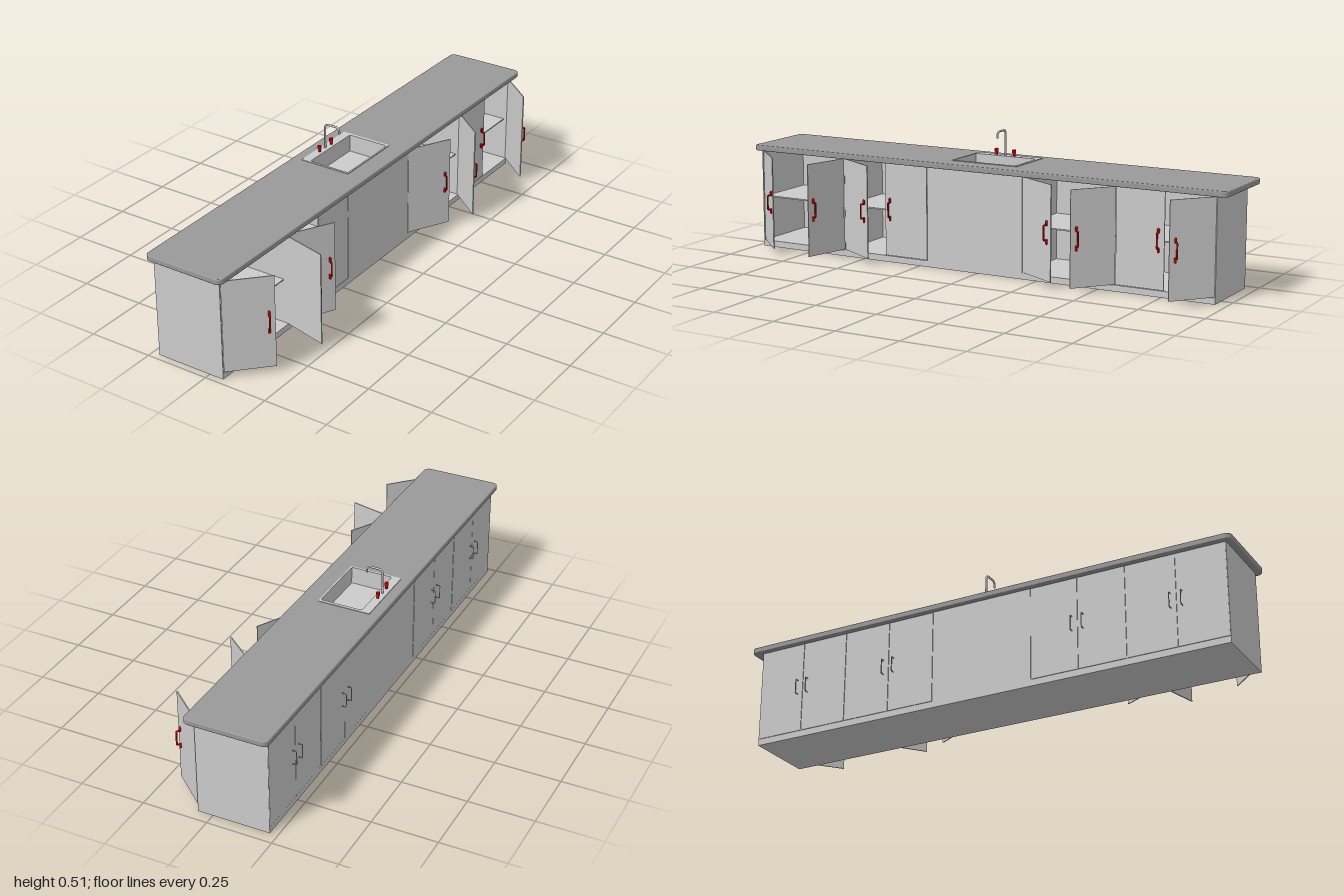
import * as THREE from 'three';

const grey = new THREE.MeshStandardMaterial({ color: 0xcccccc });
const stone = new THREE.MeshStandardMaterial({ color: 0x999999 });
const red = new THREE.MeshStandardMaterial({ color: 0xcc0000 });

const Y0 = 0.028, Y1 = 0.386;        // door bottom and top
const BACK = -0.22, FRONT = 0.058;   // carcass depth along x
const T = 0.004;                     // panel thickness

function add(parent, name, geometry, material = grey) {
  const mesh = new THREE.Mesh(geometry, material);
  mesh.name = name;
  parent.add(mesh);
  return mesh;
}

// box given by its minimum and maximum corners
function box(parent, name, x0, x1, y0, y1, z0, z1, material = grey) {
  const m = add(parent, name, new THREE.BoxGeometry(x1 - x0, y1 - y0, z1 - z0), material);
  m.position.set((x0 + x1) / 2, (y0 + y1) / 2, (z0 + z1) / 2);
  return m;
}

// rounded rectangle in x and z, drawn in shape space (y = -z)
function roundRect(Type, x0, x1, z0, z1, r) {
  const p = new Type(), a = -z1, b = -z0;
  p.moveTo(x0 + r, a);
  p.lineTo(x1 - r, a);
  p.absarc(x1 - r, a + r, r, -Math.PI / 2, 0);
  p.lineTo(x1, b - r);
  p.absarc(x1 - r, b - r, r, 0, Math.PI / 2);
  p.lineTo(x0 + r, b);
  p.absarc(x0 + r, b - r, r, Math.PI / 2, Math.PI);
  p.lineTo(x0, a + r);
  p.absarc(x0 + r, a + r, r, Math.PI, Math.PI * 1.5);
  return p;
}

// rod through points with rounded corners
function bentRod(points, bend, radius) {
  const v = points.map(p => new THREE.Vector3(...p));
  const path = new THREE.CurvePath();
  let from = v[0];
  for (let i = 1; i < v.length - 1; i++) {
    const a = v[i].clone().add(v[i - 1].clone().sub(v[i]).setLength(bend));
    const b = v[i].clone().add(v[i + 1].clone().sub(v[i]).setLength(bend));
    path.add(new THREE.LineCurve3(from, a));
    path.add(new THREE.QuadraticBezierCurve3(a, v[i], b));
    from = b;
  }
  path.add(new THREE.LineCurve3(from, v[v.length - 1]));
  return new THREE.TubeGeometry(path, 60, radius, 8, false);
}

// U-shaped pull standing out along +x
function handle(material, withPads) {
  const g = new THREE.Group();
  g.name = 'handle';
  const reach = 0.016, lo = 0.18, hi = 0.236, r = withPads ? 0.0035 : 0.0018;
  add(g, 'handleBar', bentRod([[0, lo, 0], [reach, lo, 0], [reach, hi, 0], [0, hi, 0]], 0.005, r), material);
  if (withPads) for (const y of [0.172, 0.244]) {
    const pad = add(g, 'handlePad', new THREE.CapsuleGeometry(0.0045, 0.009, 4, 10), material);
    pad.position.set(0.003, y, 0);
  }
  return g;
}

// door hinged at z, reaching along dir (+1 or -1), swung outwards by degrees
function door(parent, name, z, dir, width, degrees) {
  const g = new THREE.Group();
  g.name = name;
  const panel = add(g, 'doorPanel', new THREE.BoxGeometry(T, Y1 - Y0, width));
  panel.position.set(0, (Y0 + Y1) / 2, dir * width / 2);
  const pull = handle(red, true);
  pull.position.set(T / 2, 0, dir * (width - 0.022));
  g.add(pull);
  g.position.set(FRONT - T / 2, 0, z);
  g.rotation.y = dir * THREE.MathUtils.degToRad(degrees);
  parent.add(g);
}

export function createModel() {
  const model = new THREE.Group();
  model.name = 'kitchenIsland';

  // carcass: plinth, back wall, partitions, shelves
  const zEnds = [-0.956, -0.571, -0.19, 0.215, 0.592, 0.976];
  const body = new THREE.Group();
  body.name = 'carcass';
  model.add(body);
  box(body, 'plinth', BACK, FRONT, 0.002, Y0 - 0.002, zEnds[0], zEnds[5]);
  box(body, 'backWall', BACK + 0.002, BACK + 0.006, 0.02, 0.389, zEnds[0], zEnds[5]);
  zEnds.forEach((z, i) => {
    const end = i === 0 || i === 5;
    const z0 = i === 0 ? z : i === 5 ? z - T : z - T / 2;
    box(body, end ? 'endPanel' : 'partition', end ? BACK : BACK + 0.002, end ? FRONT : FRONT - T, end ? 0.002 : 0.02, 0.389, z0, z0 + T);
  });
  for (const i of [0, 1, 3, 4]) {
    box(body, 'shelf', BACK + 0.004, 0.04, 0.198, 0.203, zEnds[i] + 0.002, zEnds[i + 1] - 0.002);
  }
  box(body, 'sinkFrontPanel', FRONT - T, FRONT, 0.002, 0.389, zEnds[2], zEnds[3]);
  box(body, 'sinkBackPanel', BACK, BACK + T, 0.002, 0.389, zEnds[2], zEnds[3]);

  // front doors: hinge z, direction, width, opening angle
  [[-0.952, 1, 0.178, 49.5], [-0.573, -1, 0.186, 0], [-0.567, 1, 0.176, 51], [-0.194, -1, 0.182, 28.5],
    [0.218, 1, 0.184, 0], [0.586, -1, 0.182, 29], [0.595, 1, 0.182, 76], [0.968, -1, 0.182, 44]]
    .forEach((d, i) => door(model, 'frontDoor' + (i + 1), ...d));

  // closed back doors, in pairs with facing handles
  for (const i of [0, 1, 3, 4]) {
    const mid = (zEnds[i] + zEnds[i + 1]) / 2;
    for (const s of [-1, 1]) {
      const edge = s < 0 ? zEnds[i] + 0.002 : zEnds[i + 1] - 0.002;
      const near = mid + s * 0.001;
      box(model, 'backDoor', BACK - 0.001, BACK + 0.003, Y0, Y1, Math.min(edge, near), Math.max(edge, near));
      const pull = handle(grey, false);
      pull.rotation.y = Math.PI;
      pull.position.set(BACK - 0.001, 0, mid + s * 0.022);
      model.add(pull);
    }
  }

  // worktop with a softened edge and a sink cut-out
  const b = 0.004;
  const top = roundRect(THREE.Shape, -0.24 + b, 0.08 - b, -1 + b, 1 - b, 0.018);
  top.holes.push(roundRect(THREE.Path, -0.168 - b, 0.003 + b, -0.13 - b, 0.134 + b, 0.01));
  const worktop = add(model, 'worktop', new THREE.ExtrudeGeometry(top, {
    depth: 0.022 - 2 * b, bevelThickness: b, bevelSize: b, bevelSegments: 3, curveSegments: 8,
  }), stone);
  worktop.rotation.x = -Math.PI / 2;
  worktop.position.y = 0.388 + b;

  // sink: raised rim and open basin
  const sink = new THREE.Group();
  sink.name = 'sink';
  model.add(sink);
  const X0 = -0.165, X1 = 0, Z0 = -0.127, Z1 = 0.131, floorY = 0.345;
  const rim = roundRect(THREE.Shape, -0.2, 0.006, -0.139, 0.139, 0.004);
  rim.holes.push(roundRect(THREE.Path, X0, X1, Z0, Z1, 0.008));
  const rimMesh = add(sink, 'sinkRim', new THREE.ExtrudeGeometry(rim, { depth: 0.003, bevelEnabled: false }));
  rimMesh.rotation.x = -Math.PI / 2;
  rimMesh.position.y = 0.4095;
  box(sink, 'basinFloor', X0, X1, floorY - 0.003, floorY, Z0, Z1);
  box(sink, 'basinWall', X0 - 0.002, X0, floorY, 0.41, Z0, Z1);
  box(sink, 'basinWall', X1, X1 + 0.002, floorY, 0.41, Z0, Z1);
  box(sink, 'basinWall', X0, X1, floorY, 0.41, Z0 - 0.002, Z0);
  box(sink, 'basinWall', X0, X1, floorY, 0.41, Z1, Z1 + 0.002);

  // tap spout and two knobs
  const tapZ = 0.012;
  add(model, 'tapSpout', bentRod([[-0.182, 0.41, tapZ], [-0.182, 0.511, tapZ], [-0.118, 0.511, tapZ], [-0.118, 0.486, tapZ]], 0.018, 0.004))
    .material = new THREE.MeshStandardMaterial({ color: 0xcccccc, side: THREE.DoubleSide });
  const knobProfile = [[0, 0], [0.005, 0], [0.005, 0.009], [0.0075, 0.013], [0.0075, 0.024], [0.006, 0.0255], [0, 0.0255]]
    .map(p => new THREE.Vector2(...p));
  for (const s of [-1, 1]) {
    add(model, 'tapKnob', new THREE.LatheGeometry(knobProfile, 12), red).position.set(-0.181, 0.412, tapZ + s * 0.038);
  }
  return model;
}
